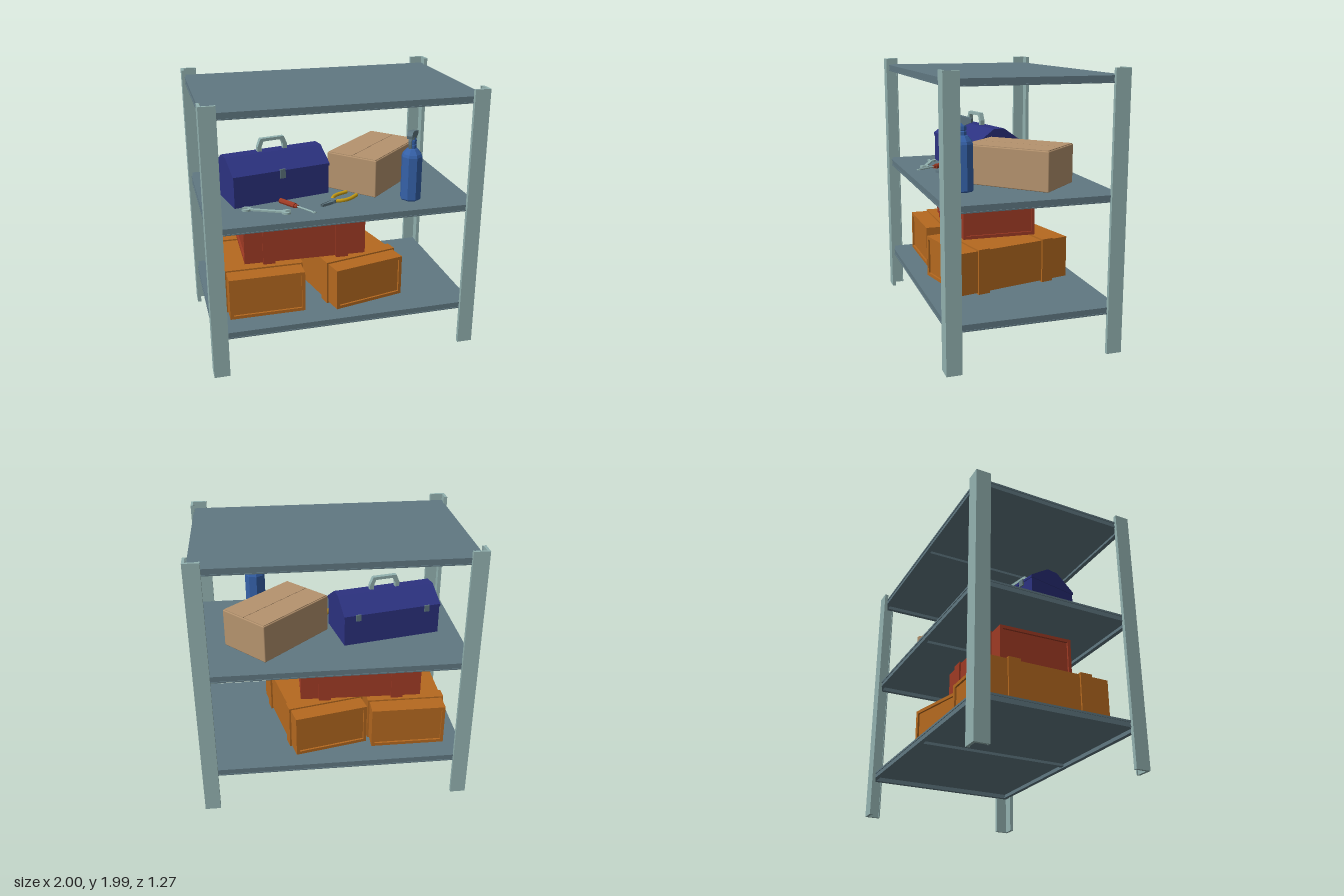
import * as THREE from 'three';
import { toCreasedNormals } from 'three/addons/utils/BufferGeometryUtils.js';
import { RoundedBoxGeometry } from 'three/addons/geometries/RoundedBoxGeometry.js';

const mat = (name, color) => {
  const m = new THREE.MeshStandardMaterial({ color });
  m.name = name;
  return m;
};

export function createModel() {
  const root = new THREE.Group();
  root.name = 'storageShelf';
  const paleSteel = mat('pale steel', 0x93b2b0);
  const slate = mat('slate steel', 0x607882);
  const orange = mat('orange', 0xb5691f);
  const red = mat('brick red', 0x9e3a24);
  const navy = mat('navy blue', 0x2c3280);
  const tan = mat('cardboard', 0xb5936e);
  const blue = mat('bottle blue', 0x3561a8);
  const yellow = mat('yellow', 0xcca014);

  // Helpers
  const add = (parent, name, geo, material, x = 0, y = 0, z = 0) => {
    const m = new THREE.Mesh(geo, material);
    m.name = name;
    m.position.set(x, y, z);
    parent.add(m);
    return m;
  };
  const group = (name, x, y, z, turn = 0) => {
    const g = new THREE.Group();
    g.name = name;
    g.position.set(x, y, z);
    g.rotation.y = turn;
    root.add(g);
    return g;
  };
  const box = (w, h, d) => new THREE.BoxGeometry(w, h, d);
  const flat = (geo) => {
    const g = geo.index ? geo.toNonIndexed() : geo;
    g.computeVertexNormals();
    return g;
  };
  const poly = (pts) => new THREE.Shape(pts.map(([x, y]) => new THREE.Vector2(x, y)));
  const rect = (w, h) => [[-w / 2, -h / 2], [w / 2, -h / 2], [w / 2, h / 2], [-w / 2, h / 2]];
  // Extrusion centred on its depth
  const slab = (shape, depth) => {
    const g = new THREE.ExtrudeGeometry(shape, { depth, bevelEnabled: false, curveSegments: 10 });
    return g.translate(0, 0, -depth / 2);
  };
  const ring = (w, h, border, depth) => {
    const s = poly(rect(w, h));
    s.holes.push(poly(rect(w - 2 * border, h - 2 * border)));
    return slab(s, depth);
  };

  // Corner posts: angle iron
  for (const sx of [-1, 1]) for (const sz of [-1, 1]) {
    const post = group('cornerPost', 0, 0.995, 0);
    add(post, 'postFace', box(0.115, 1.99, 0.02), paleSteel, sx * 0.9425, 0, sz * 0.626);
    add(post, 'postSide', box(0.02, 1.99, 0.09), paleSteel, sx * 0.99, 0, sz * 0.571);
    // Narrow hems along the free edges
    add(post, 'postHem', box(0.008, 1.99, 0.008), paleSteel, sx * 0.889, 0, sz * 0.612);
    add(post, 'postHem', box(0.008, 1.99, 0.008), paleSteel, sx * 0.976, 0, sz * 0.53);
  }

  // Shelves: tray with folded lips and a centre rib underneath
  for (const top of [0.34, 1.14, 1.94]) {
    const shelf = group('shelf', 0, top, 0);
    add(shelf, 'shelfPlate', box(1.96, 0.014, 1.23), slate, 0, -0.007, 0);
    add(shelf, 'shelfLip', ring(1.95, 1.22, 0.012, 0.03), slate, 0, -0.029, 0).rotation.x = Math.PI / 2;
    add(shelf, 'shelfFlange', ring(1.96, 1.23, 0.032, 0.008), slate, 0, -0.046, 0).rotation.x = Math.PI / 2;
    add(shelf, 'shelfRib', box(0.035, 0.02, 1.19), slate, 0, -0.024, 0);
  }

  // Crates: recessed ends and two straps, long axis on z
  const crate = (name, m, x, y, z, turn) => {
    const g = group(name, x, y, z, turn);
    add(g, 'crateShell', ring(0.56, 0.315, 0.024, 0.92), m);
    add(g, 'crateCore', box(0.515, 0.27, 0.89), m);
    for (const s of [-1, 1]) add(g, 'crateStrap', box(0.587, 0.338, 0.092), m, 0, 0, s * 0.277);
  };
  crate('leftOrangeCrate', orange, -0.5625, 0.513, 0, 0);
  crate('rightOrangeCrate', orange, 0.12, 0.513, 0, 0.218);
  crate('redCrate', red, -0.2275, 0.852, 0, Math.PI / 2 - 0.028);

  // Toolbox
  const tool = group('toolbox', -0.42, 1.14, 0, 0.2);
  add(tool, 'toolboxBody', box(0.75, 0.217, 0.39), navy, 0, 0.1085, 0);
  const lid = slab(poly([[-0.2, 0.217], [0.2, 0.217], [0.2, 0.235], [0.045, 0.34], [-0.045, 0.34], [-0.2, 0.235]]), 0.76);
  add(tool, 'toolboxLid', lid, navy).rotation.y = Math.PI / 2;
  add(tool, 'toolboxLatch', box(0.042, 0.07, 0.012), slate, 0, 0.212, 0.202);
  for (const s of [-1, 1]) add(tool, 'toolboxHinge', box(0.04, 0.05, 0.01), slate, s * 0.27, 0.215, -0.201);
  const grip = poly([[-0.117, 0.34], [-0.085, 0.34], [-0.085, 0.375], [-0.07, 0.413], [0.07, 0.413], [0.085, 0.375],
    [0.085, 0.34], [0.117, 0.34], [0.117, 0.375], [0.092, 0.435], [-0.092, 0.435], [-0.117, 0.375]]);
  add(tool, 'toolboxHandle', slab(grip, 0.035), paleSteel);

  // Cardboard box with two closed flaps
  const carton = group('cardboardBox', 0.395, 1.14, -0.0725, 0.754);
  add(carton, 'cartonBody', new RoundedBoxGeometry(0.68, 0.285, 0.42, 1, 0.007), tan, 0, 0.1425, 0);
  for (const s of [-1, 1]) add(carton, 'cartonFlap', box(0.664, 0.008, 0.2), tan, 0, 0.286, s * 0.102);

  // Spray bottle
  const spray = group('sprayBottle', 0.54, 1.14, 0.385, -2.214);
  const profile = [[0, 0], [0.07, 0], [0.078, 0.01], [0.078, 0.33], [0.07, 0.35], [0.04, 0.385], [0.03, 0.39], [0.03, 0.415],
    [0.024, 0.42], [0.03, 0.425], [0.03, 0.45], [0.02, 0.475], [0, 0.475]];
  add(spray, 'bottle', flat(new THREE.LatheGeometry(profile.map(([r, y]) => new THREE.Vector2(r, y)), 8)), blue);
  const head = poly([[-0.07, 0.478], [-0.025, 0.458], [0.025, 0.458], [0.035, 0.485], [0.085, 0.478], [0.09, 0.5],
    [0.065, 0.523], [0.02, 0.524], [-0.07, 0.505]]);
  add(spray, 'sprayHead', slab(head, 0.04), slate);
  const trigger = poly([[0.04, 0.486], [0.055, 0.45], [0.054, 0.41], [0.064, 0.4], [0.07, 0.43], [0.07, 0.455], [0.06, 0.486]]);
  add(spray, 'sprayTrigger', slab(trigger, 0.022), slate);

  // Open-ended wrench lying on the middle shelf
  const wrench = group('wrench', -0.54, 1.148, 0.375, -0.438);
  add(wrench, 'wrenchShaft', box(0.26, 0.012, 0.026), paleSteel);
  for (const s of [-1, 1]) {
    const jaw = new THREE.Shape();
    jaw.absarc(0, 0, 0.036, 0.5, Math.PI * 2 - 0.5, false);
    jaw.lineTo(-0.008, -0.015);
    jaw.lineTo(-0.008, 0.015);
    const end = add(wrench, 'wrenchJaw', slab(jaw, 0.015), paleSteel, s * 0.147, 0, 0);
    end.rotation.set(-Math.PI / 2, 0, s > 0 ? 0.25 : Math.PI + 0.25);
  }

  // Screwdriver: handle end first, tip towards the front
  const driver = group('screwdriver', -0.41, 1.161, 0.24, -1.0);
  const cyl = (r, l, n) => toCreasedNormals(new THREE.CylinderGeometry(r, r, l, n), 0.6).rotateZ(Math.PI / 2);
  add(driver, 'screwdriverHandle', cyl(0.02, 0.15, 8), red, 0.075);
  add(driver, 'screwdriverCollar', cyl(0.013, 0.03, 8), red, 0.16);
  add(driver, 'screwdriverShaft', cyl(0.007, 0.16, 8), paleSteel, 0.25);
  add(driver, 'screwdriverTip', box(0.03, 0.006, 0.02), paleSteel, 0.335);

  // Pliers: pivot at the origin, jaws on -x, handles on +x
  const pliers = group('pliers', -0.04, 1.158, 0.335, 0.58);
  add(pliers, 'pliersPivot', new THREE.CylinderGeometry(0.026, 0.026, 0.026, 12), slate);
  for (const s of [-1, 1]) {
    const jaw = slab(poly([[0.015, 0], [-0.03, s * 0.028], [-0.125, s * 0.012], [-0.125, s * 0.003], [-0.04, s * 0.003]]), 0.02);
    add(pliers, 'pliersJaw', jaw, slate).rotation.x = Math.PI / 2;
    const path = new THREE.CatmullRomCurve3([[0.012, 0.012], [0.05, 0.045], [0.11, 0.062], [0.205, 0.05]]
      .map(([x, z]) => new THREE.Vector3(x, 0, s * z)));
    add(pliers, 'pliersHandle', new THREE.TubeGeometry(path, 14, 0.014, 8), yellow);
    const cap = add(pliers, 'pliersHandleEnd', new THREE.SphereGeometry(0.014, 8, 6), yellow, 0.205, 0, s * 0.05);
    cap.scale.x = 0.8;
  }

  return root;
}
